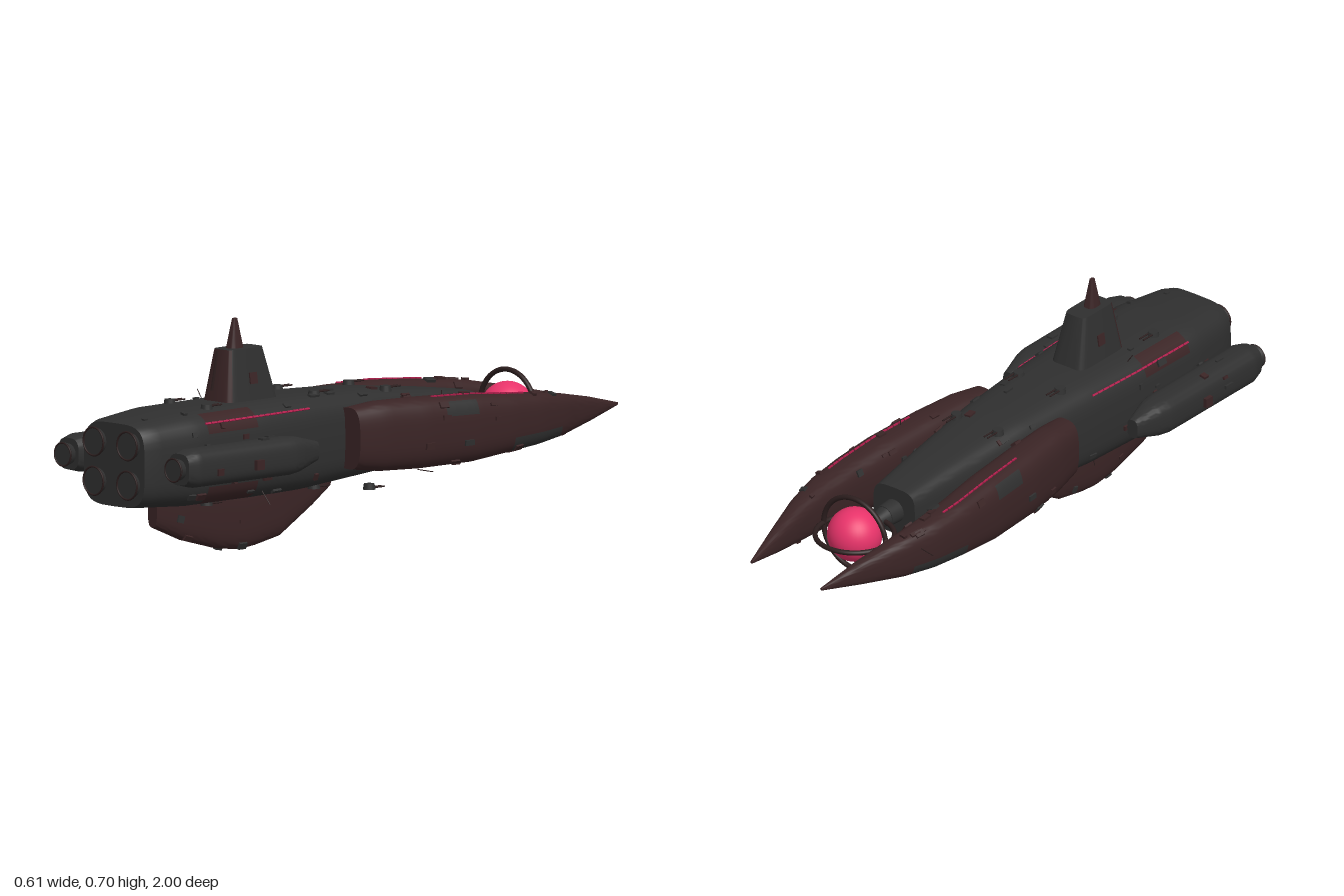
import * as THREE from 'three';
import { toCreasedNormals } from 'three/addons/utils/BufferGeometryUtils.js';

const mat = (name, color) => Object.assign(new THREE.MeshStandardMaterial({ color }), { name });

// Cross-sections: [z, centreX, centreY, halfWidth, halfHeight]
const HULL = [
  [-0.48, 0, 0.316, 0.08, 0.078], [-0.3, 0, 0.315, 0.1, 0.103], [0, 0, 0.32, 0.132, 0.13],
  [0.3, 0, 0.315, 0.157, 0.145], [0.5, 0, 0.314, 0.168, 0.146], [0.78, 0, 0.313, 0.17, 0.145],
  [0.95, 0, 0.31, 0.145, 0.132], [0.98, 0, 0.308, 0.132, 0.127]];
const PRONG = [
  [-1, 0.135, 0.313, 0.004, 0.004], [-0.85, 0.162, 0.315, 0.023, 0.037], [-0.7, 0.191, 0.316, 0.04, 0.064],
  [-0.58, 0.205, 0.317, 0.051, 0.079], [-0.45, 0.206, 0.317, 0.06, 0.09], [-0.3, 0.198, 0.316, 0.067, 0.104],
  [-0.1, 0.184, 0.318, 0.067, 0.108], [0.05, 0.17, 0.321, 0.06, 0.106], [0.15, 0.157, 0.322, 0.053, 0.094]];
const POD = [
  [0.37, 0.24, 0.315, 0.02, 0.03], [0.46, 0.24, 0.314, 0.047, 0.054], [0.5, 0.24, 0.313, 0.054, 0.058],
  [0.9, 0.24, 0.313, 0.055, 0.058], [0.94, 0.24, 0.313, 0.044, 0.048]];
const KEEL = [
  [0.08, 0, 0.19, 0.01, 0.035], [0.16, 0, 0.165, 0.022, 0.06], [0.3, 0, 0.125, 0.031, 0.1],
  [0.4, 0, 0.107, 0.034, 0.1], [0.47, 0, 0.1, 0.034, 0.1], [0.56, 0, 0.112, 0.034, 0.1],
  [0.7, 0, 0.14, 0.03, 0.09], [0.82, 0, 0.165, 0.02, 0.065]];
// The tower is lofted upward, so its first number is height
const TOWER = [[0.42, 0, -0.45, 0.07, 0.115], [0.615, 0, -0.46, 0.039, 0.073]];
const SPIRE = [[0.61, 0, -0.475, 0.02, 0.028], [0.705, 0, -0.475, 0.006, 0.008]];

// Point on a lofted surface at z and angle a; n sets how square the section is
function pointAt(secs, n, z, a, out = 0) {
  let i = 0;
  while (i < secs.length - 2 && z > secs[i + 1][0]) i++;
  const k = (z - secs[i][0]) / (secs[i + 1][0] - secs[i][0]);
  const [, cx, cy, w, h] = secs[i].map((v, j) => v + (secs[i + 1][j] - v) * k);
  const c = Math.cos(a), s = Math.sin(a);
  return new THREE.Vector3(
    cx + Math.sign(c) * Math.abs(c) ** (2 / n) * (w + out),
    cy + Math.sign(s) * Math.abs(s) ** (2 / n) * (h + out), z);
}

// Closed loft; pick(z, angle) returns 0 or 1 to choose the colour of each face
function loft(secs, n, steps, mats, pick = () => 0, sides = 40) {
  const z0 = secs[0][0], z1 = secs[secs.length - 1][0], lists = [[], []];
  const P = (i, j) => pointAt(secs, n, z0 + (z1 - z0) * i / steps, (j % sides) / sides * Math.PI * 2);
  const centre = (s) => new THREE.Vector3(s[1], s[2], s[0]);
  const tri = (m, ...pts) => pts.forEach((p) => lists[m].push(p.x, p.y, p.z));
  for (let j = 0; j < sides; j++) {
    for (let i = 0; i < steps; i++) {
      const m = pick(z0 + (z1 - z0) * (i + 0.5) / steps, (j + 0.5) / sides * 360);
      const a = P(i, j), b = P(i, j + 1), c = P(i + 1, j + 1), d = P(i + 1, j);
      tri(m, a, b, c);
      tri(m, a, c, d);
    }
    tri(0, centre(secs[0]), P(0, j + 1), P(0, j));
    tri(0, centre(secs[secs.length - 1]), P(steps, j), P(steps, j + 1));
  }
  const g = new THREE.BufferGeometry();
  g.setAttribute('position', new THREE.Float32BufferAttribute([...lists[0], ...lists[1]], 3));
  g.addGroup(0, lists[0].length / 3, 0);
  g.addGroup(lists[0].length / 3, lists[1].length / 3, 1);
  return new THREE.Mesh(toCreasedNormals(g, 0.6), mats);
}

export function createModel() {
  const root = new THREE.Group();
  root.name = 'spaceship';
  const gray = mat('charcoal', 0x2f2f2f), brown = mat('dark maroon', 0x3a2425);
  const dark = mat('ring brown', 0x2c1e1e), pink = mat('glow pink', 0xe8336a), line = mat('crimson line', 0xb01e4c);

  const add = (name, obj, x = 0, y = 0, z = 0) => {
    obj.name = name;
    obj.position.set(x, y, z);
    root.add(obj);
    return obj;
  };
  const mesh = (geo, m) => new THREE.Mesh(geo, m);
  const cyl = (r0, r1, len, m, sides = 32) => mesh(new THREE.CylinderGeometry(r1, r0, len, sides).rotateX(Math.PI / 2), m);
  let seed = 7;
  const rnd = () => (seed = (seed * 16807) % 2147483647) / 2147483647;

  // Box seated on a lofted surface
  function seat(name, secs, n, z, a, size, m, out = 0) {
    const p = pointAt(secs, n, z, a, out);
    const t = pointAt(secs, n, z, a + 0.02).sub(pointAt(secs, n, z, a - 0.02));
    const f = pointAt(secs, n, z + 0.01, a).sub(pointAt(secs, n, z - 0.01, a)).normalize();
    const nrm = new THREE.Vector3().crossVectors(t, f).normalize();
    const b = add(name, mesh(new THREE.BoxGeometry(...size), m), p.x, p.y, p.z);
    b.quaternion.setFromRotationMatrix(new THREE.Matrix4().makeBasis(new THREE.Vector3().crossVectors(nrm, f), nrm, f));
  }
  function greebles(name, secs, n, count, z0, z1, mats) {
    for (let i = 0; i < count; i++) {
      const size = [0.008 + rnd() * 0.014, 0.008 + rnd() * 0.006, 0.012 + rnd() * 0.025];
      seat(name, secs, n, z0 + rnd() * (z1 - z0), rnd() * Math.PI * 2, size, mats[i % mats.length]);
    }
  }

  // Hull with maroon patches on its shoulders
  add('hull', loft(HULL, 4, 49, [gray, brown], (z, a) => {
    const q = Math.abs(((a % 180) + 180) % 180 - 90);
    return z > 0.53 && z < 0.75 && q > 28 && q < 68 ? 1 : 0;
  }));
  greebles('hullGreeble', HULL, 4, 44, -0.4, 0.92, [gray, brown, gray]);

  // Main engines
  for (const x of [-0.073, 0.073]) for (const y of [0.253, 0.373]) {
    add('engineNozzle', cyl(0.036, 0.044, 0.025, gray), x, y, 0.984);
    add('engineRing', mesh(new THREE.TorusGeometry(0.043, 0.003, 8, 40), dark), x, y, 0.997);
  }

  // Nose mount, glowing core and its two rings
  add('noseCollar', cyl(0.038, 0.034, 0.06, gray), 0, 0.316, -0.5).rotation.y = Math.PI;
  add('noseCone', cyl(0.013, 0.034, 0.08, gray), 0, 0.316, -0.56);
  add('core', mesh(new THREE.SphereGeometry(0.084, 40, 28), pink), 0, 0.316, -0.67);
  const ring = new THREE.TorusGeometry(0.12, 0.008, 10, 64);
  add('coreRingUpright', mesh(ring, dark), 0, 0.316, -0.67);
  add('coreRingFlat', mesh(ring, dark), 0, 0.316, -0.67).rotation.x = Math.PI / 2;

  // Keel fin
  add('keel', loft(KEEL, 3.2, 37, [brown, gray]));
  greebles('keelGreeble', KEEL, 3.2, 12, 0.25, 0.75, [brown, gray]);

  // Command tower: charcoal with a maroon rear face
  add('tower', loft(TOWER, 6, 1, [gray, brown], (z, a) => (a > 215 && a < 325 ? 1 : 0))).rotation.x = -Math.PI / 2;
  add('spire', loft(SPIRE, 3, 1, [brown, gray])).rotation.x = -Math.PI / 2;
  add('towerRib', mesh(new THREE.BoxGeometry(0.005, 0.12, 0.008), dark), -0.012, 0.55, 0.547).rotation.x = -0.2;
  for (const s of [-1, 1]) add('towerVent', mesh(new THREE.BoxGeometry(0.008, 0.035, 0.03), brown), s * 0.054, 0.525, 0.45).rotation.z = s * 0.16;

  // Turrets above and below
  function turret(x, y, z, up) {
    const g = add('turret', new THREE.Group(), x, y, z);
    const base = mesh(new THREE.CylinderGeometry(0.016, 0.019, 0.018, 16), gray);
    g.add(base);
    for (const s of [-1, 1]) {
      const barrel = cyl(0.0025, 0.0025, 0.05, dark, 8);
      barrel.position.set(s * 0.007, 0.004 * up, -0.032);
      g.add(barrel);
    }
  }

  for (const s of [-1, 1]) {
    const flip = (secs) => secs.map(([z, x, ...r]) => [z, x * s, ...r]);
    const side = (a) => (s > 0 ? a : Math.PI - a);
    const prong = flip(PRONG), pod = flip(POD);

    // Forward prong with charcoal patches on its flanks
    add('prong', loft(prong, 3, 46, [brown, gray], (z, a) => {
      const b = s > 0 ? a : (540 - a) % 360;
      return (z > -0.68 && z < -0.45 && b > 270 && b < 340) || (z > -0.3 && z < -0.17 && b > 20 && b < 50) ? 1 : 0;
    }));
    greebles('prongGreeble', prong, 3, 26, -0.75, 0.1, [brown, brown, gray]);

    // Side pod with nozzle
    add('pod', loft(pod, 3, 57, [gray, brown]));
    greebles('podGreeble', pod, 3, 9, 0.52, 0.88, [gray, brown]);
    add('podNozzle', cyl(0.03, 0.038, 0.03, gray), s * 0.24, 0.313, 0.95);
    add('podRing', mesh(new THREE.TorusGeometry(0.035, 0.003, 8, 36), dark), s * 0.24, 0.313, 0.964);

    // Glowing light strips
    for (let i = 0; i < 18; i++) seat('hullLight', HULL, 4, 0.31 + i * 0.025, side(0.62), [0.006, 0.005, 0.021], line, 0.001);
    for (let i = 0; i < 15; i++) seat('prongLight', prong, 3, -0.51 + i * 0.025, side(1.42), [0.005, 0.006, 0.021], line, 0.001);

    for (const z of [-0.08, 0.22, 0.67]) {
      turret(s * 0.08, pointAt(HULL, 4, z, 1.15).y + 0.008, z, 1);
      if (z > 0) turret(s * 0.08, pointAt(HULL, 4, z, -1.15).y - 0.004, z, -1);
    }
    // Lower hull plates and flank boxes
    add('flankBox', mesh(new THREE.BoxGeometry(0.014, 0.07, 0.02), brown), s * 0.165, 0.3, 0.82);
    add('podClamp', mesh(new THREE.BoxGeometry(0.014, 0.03, 0.03), brown), s * 0.3, 0.306, 0.66);
  }
  turret(0.02, 0.14, -0.07, -1);

  // Whisker antennas
  const whiskers = [
    [[-0.11, 0.44, 0.5], [-0.137, 0.478, 0.5]], [[0.14, 0.2, 0.5], [0.18, 0.157, 0.5]],
    [[-0.065, 0.18, 0.4], [-0.069, 0.118, 0.4]], [[-0.24, 0.34, -0.65], [-0.305, 0.345, -0.67]],
    [[0.2, 0.4, -0.2], [0.2, 0.44, -0.2]], [[0.2, 0.207, -0.1], [0.27, 0.207, -0.1]]];
  for (const [a, b] of whiskers) {
    const path = new THREE.LineCurve3(new THREE.Vector3(...a), new THREE.Vector3(...b));
    add('antenna', mesh(new THREE.TubeGeometry(path, 1, 0.0015, 6), dark));
  }
  return root;
}
